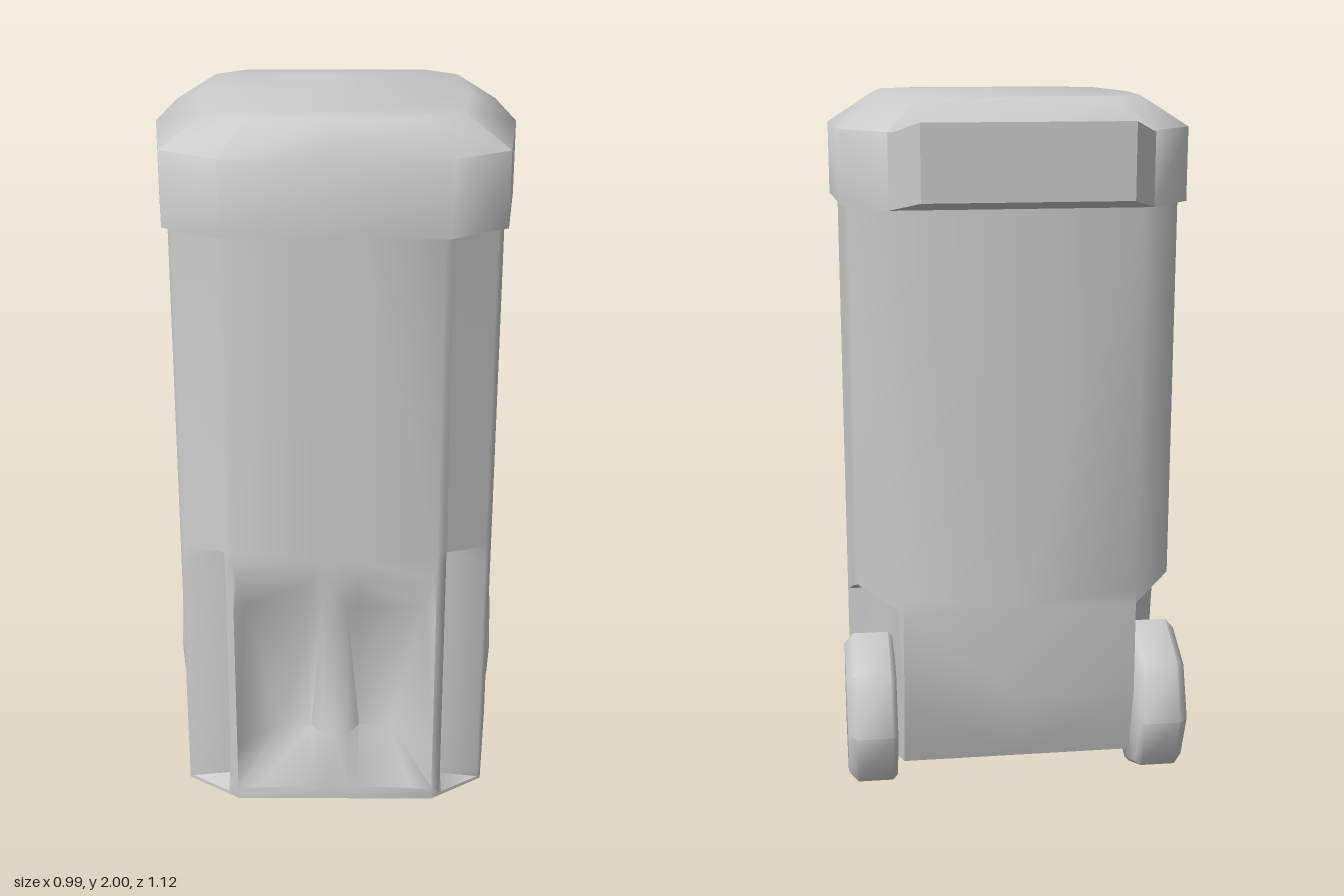
import * as THREE from 'three';
import { mergeGeometries, toCreasedNormals } from 'three/addons/utils/BufferGeometryUtils.js';

const material = new THREE.MeshStandardMaterial({ color: 0xcccccc, side: THREE.DoubleSide });

// Skin rows of [x, y, z] points for the +x half and mirror it to -x
function loftHalf(rows) {
  const pos = [];
  const tri = (a, b, c) => {
    const [p, q, r] = [a, b, c].map((v) => new THREE.Vector3(...v));
    if (q.sub(p).cross(r.sub(p)).length() > 1e-7) pos.push(...a, ...b, ...c);
  };
  const flip = ([x, y, z]) => [-x, y, z];
  for (let r = 0; r < rows.length - 1; r++) {
    for (let i = 0; i < rows[r].length - 1; i++) {
      const a = rows[r][i], b = rows[r + 1][i], c = rows[r + 1][i + 1], d = rows[r][i + 1];
      for (const [p, q, s] of [[a, b, c], [a, c, d]]) {
        tri(p, q, s);
        tri(flip(p), flip(s), flip(q));
      }
    }
  }
  const g = new THREE.BufferGeometry();
  g.setAttribute('position', new THREE.Float32BufferAttribute(pos, 3));
  return g;
}

function addMesh(parent, name, geometry, crease = 1.1) {
  const mesh = new THREE.Mesh(toCreasedNormals(geometry, crease), material);
  mesh.name = name;
  parent.add(mesh);
  return mesh;
}

// Front of the body: corner notches, a tapering pocket and a centre rib
function frontRow(y, { notch = false, depth = 0, wall = 0.28, rib = 0 }) {
  const z = 0.535, back = z - depth;
  const corner = notch
    ? [[0.3, y, 0.525], [0.31, y, 0.45], [0.42, y, 0.44]]
    : [[0.3, y, 0.521], [0.31, y, 0.514], [0.42, y, 0.437]];
  return [
    [0, y, back + rib], [0.035, y, back + rib], [0.07, y, back], [wall, y, back],
    [0.28, y, z], ...corner, [0.43, y, 0.43], [0.472, y, 0.08],
  ];
}

function bodyGeometry() {
  const front = loftHalf([
    frontRow(1.72, {}),
    frontRow(0.83, {}),
    frontRow(0.81, { notch: true }),
    frontRow(0.75, { notch: true, wall: 0.27 }),
    frontRow(0.66, { notch: true, depth: 0.03, wall: 0.25, rib: 0.02 }),
    frontRow(0.22, { notch: true, depth: 0.11, wall: 0.16, rib: 0.05 }),
    frontRow(0.08, { notch: true, wall: 0.22 }),
    frontRow(0.07, { notch: true }),
    frontRow(0.05, {}),
    frontRow(0.04, {}),
  ]);
  // Sides and back, with a wheel well cut into each lower rear corner
  const rear = loftHalf([
    [[0.472, 1.72, 0.08], [0.47, 1.72, -0.01], [0.46, 1.72, -0.15], [0.45, 1.72, -0.28], [0.33, 1.72, -0.42], [0, 1.72, -0.42]],
    [[0.472, 0.53, 0.08], [0.47, 0.53, -0.01], [0.46, 0.59, -0.15], [0.45, 0.64, -0.28], [0.33, 0.64, -0.42], [0, 0.64, -0.42]],
    [[0.472, 0.53, 0.08], [0.47, 0.53, -0.01], [0.36, 0.56, -0.1], [0.35, 0.62, -0.28], [0.33, 0.6, -0.42], [0, 0.6, -0.42]],
    [[0.472, 0.3, 0.08], [0.47, 0.3, 0.025], [0.36, 0.3, -0.08], [0.35, 0.33, -0.28], [0.33, 0.33, -0.42], [0, 0.33, -0.42]],
    [[0.472, 0.04, 0.08], [0.47, 0.04, 0.06], [0.36, 0.06, -0.05], [0.35, 0.105, -0.28], [0.33, 0.12, -0.36], [0, 0.12, -0.36]],
  ]);
  // Underside: half width, y, z from back to front
  const under = loftHalf([
    [0.33, 0.12, -0.36], [0.35, 0.105, -0.28], [0.36, 0.06, -0.05], [0.47, 0.04, 0.06],
    [0.472, 0.04, 0.08], [0.43, 0.04, 0.43], [0.28, 0.04, 0.535],
  ].map(([w, y, z]) => [[w, y, z], [0, y, z]]));
  return mergeGeometries([front, rear, under]);
}

function lidGeometry() {
  const rim = [[0, 0.555], [0.29, 0.555], [0.445, 0.445], [0.495, 0.05], [0.47, -0.3], [0.35, -0.44], [0, -0.44]];
  const crown = [[0, 0.44], [0.22, 0.44], [0.33, 0.36], [0.37, 0.05], [0.35, -0.24], [0.26, -0.32], [0, -0.32]];
  const ring = (pts, y, s = 1) => pts.map(([x, z]) => [x * s, y, z]);
  return loftHalf([ring(crown, 2, 0), ring(crown, 2), ring(rim, 1.92), ring(rim, 1.72), ring(rim, 1.72, 0)]);
}

function handleGeometry() {
  const ring = (w, top, bottom, z) => [[0, top, z], [w, top, z], [w, bottom, z], [0, bottom, z]];
  return loftHalf([
    ring(0, 1.95, 1.75, -0.56), ring(0.275, 1.95, 1.75, -0.56),
    ring(0.35, 1.915, 1.72, -0.44), ring(0.36, 1.91, 1.72, -0.42),
  ]);
}

export function createModel() {
  const group = new THREE.Group();
  group.name = 'wheeledBin';
  addMesh(group, 'body', bodyGeometry());
  addMesh(group, 'lid', lidGeometry());
  addMesh(group, 'handle', handleGeometry(), 0.9);

  // Eight-sided wheels with a bevelled outer rim
  const profile = [[0, 0.35], [0.215, 0.35], [0.23, 0.365], [0.23, 0.465], [0.2, 0.49], [0, 0.49]]
    .map(([r, x]) => new THREE.Vector2(r, x));
  for (const side of [1, -1]) {
    const wheel = addMesh(group, side > 0 ? 'leftWheel' : 'rightWheel', new THREE.LatheGeometry(profile, 8), 0.9);
    wheel.rotation.z = -side * Math.PI / 2;
    wheel.position.set(0, 0.235, -0.215);
  }
  return group;
}
